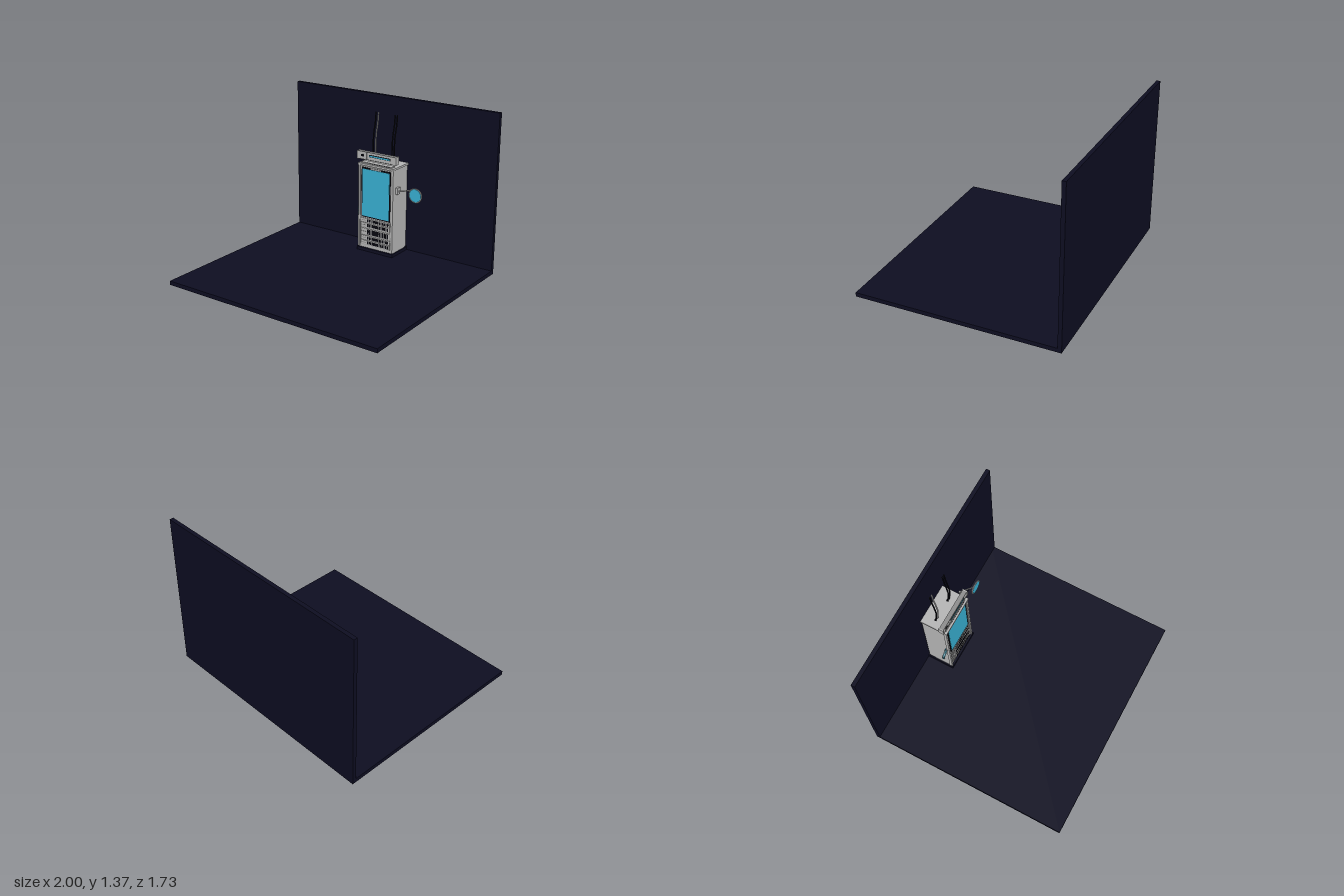
import * as THREE from 'three';

const mat = (name, color) => Object.assign(new THREE.MeshStandardMaterial({ color }), { name });

export function createModel() {
  const root = new THREE.Group();
  root.name = 'kioskDisplay';
  const navy = mat('navy', 0x0d0d21);
  const grey = mat('light grey', 0xb4b4b4);
  const shade = mat('mid grey', 0x8c8c8c);
  const black = mat('near black', 0x07070f);
  const blue = mat('screen blue', 0x38b0d2);

  const add = (name, geometry, material, parent = root) => {
    const m = new THREE.Mesh(geometry, material);
    m.name = name;
    parent.add(m);
    return m;
  };
  // Box given by its limits on each axis
  const box = (name, material, [x0, x1], [y0, y1], [z0, z1], parent = root) => {
    const m = add(name, new THREE.BoxGeometry(x1 - x0, y1 - y0, z1 - z0), material, parent);
    m.position.set((x0 + x1) / 2, (y0 + y1) / 2, (z0 + z1) / 2);
    return m;
  };
  const group = (name) => {
    const g = new THREE.Group();
    g.name = name;
    root.add(g);
    return g;
  };
  const tube = (name, material, pts, r, parent, segments = 24) => add(name, new THREE.TubeGeometry(
    new THREE.CatmullRomCurve3(pts.map((p) => new THREE.Vector3(...p))), segments, r, 8), material, parent);
  const rod = (name, material, a, b, r, parent) => {
    const line = new THREE.LineCurve3(new THREE.Vector3(...a), new THREE.Vector3(...b));
    return add(name, new THREE.TubeGeometry(line, 1, r, 8), material, parent);
  };

  // Room corner
  box('floor', navy, [-1, 1], [0, 0.035], [-0.865, 0.865]);
  box('wall', navy, [-1, 1], [0.035, 1.37], [-0.865, -0.832]);

  // Cabinet
  const cabinet = group('cabinet');
  box('plinth', navy, [-0.18, 0.18], [0.035, 0.062], [-0.83, -0.593], cabinet);
  box('body', grey, [-0.17, 0.17], [0.062, 0.8], [-0.825, -0.61], cabinet);
  box('topCap', grey, [-0.177, 0.177], [0.803, 0.82], [-0.832, -0.593], cabinet);
  box('capSeam', shade, [-0.165, 0.165], [0.79, 0.803], [-0.815, -0.605], cabinet);
  for (const s of [-1, 1]) {
    const span = (a, b) => (s > 0 ? [a, b] : [-b, -a]);
    box('frontPost', grey, span(0.158, 0.174), [0.065, 0.803], [-0.625, -0.6], cabinet);
    box('postGroove', shade, span(0.152, 0.158), [0.07, 0.8], [-0.62, -0.607], cabinet);
    box('plinthCorner', navy, span(0.165, 0.18), [0.062, 0.07], [-0.612, -0.593], cabinet);
    box('rearPlinthCorner', navy, span(0.165, 0.18), [0.062, 0.07], [-0.83, -0.815], cabinet);
  }

  // Screen
  const screen = group('screen');
  box('screenBezel', black, [-0.145, 0.145], [0.342, 0.785], [-0.612, -0.605], screen);
  box('screenGlass', blue, [-0.135, 0.135], [0.352, 0.772], [-0.606, -0.602], screen);
  box('screenTopBar', grey, [-0.055, 0.05], [0.776, 0.786], [-0.606, -0.6], screen);

  // Vent rows under the screen
  const vents = group('ventRows');
  for (const [y0, y1] of [[0.297, 0.329], [0.252, 0.288], [0.182, 0.237], [0.137, 0.17], [0.092, 0.127]]) {
    box('ventTray', shade, [-0.15, 0.148], [y0 - 0.004, y1 + 0.004], [-0.612, -0.607], vents);
    box('ventFace', grey, [-0.148, 0.146], [y0, y1], [-0.61, -0.604], vents);
    box('ventLabel', shade, [-0.142, -0.095], [(y0 + y1) / 2 - 0.003, (y0 + y1) / 2 + 0.003], [-0.606, -0.603], vents);
    const slots = [[-0.03, 0.032]];
    for (let i = 0; i < 3; i++) slots.push([-0.082 + i * 0.017, -0.071 + i * 0.017]);
    for (let i = 0; i < 6; i++) slots.push([0.038 + i * 0.0165, 0.049 + i * 0.0165]);
    for (const s of slots) box('ventSlot', black, s, [y0 + 0.005, y1 - 0.005], [-0.606, -0.6025], vents);
  }

  // Floating header sign
  const sign = group('headerSign');
  box('signBody', grey, [-0.188, 0.185], [0.855, 0.917], [-0.645, -0.609], sign);
  box('signLeftEnd', grey, [0.183, 0.194], [0.851, 0.92], [-0.649, -0.605], sign);
  box('signRightEnd', grey, [-0.196, -0.186], [0.851, 0.92], [-0.649, -0.605], sign);
  for (const y of [0.851, 0.915]) box('signRail', shade, [-0.186, 0.183], [y, y + 0.005], [-0.645, -0.607], sign);
  box('signDivider', shade, [-0.102, -0.098], [0.856, 0.915], [-0.61, -0.607], sign);
  box('signWindow', black, [-0.075, 0.14], [0.88, 0.9], [-0.61, -0.607], sign);
  box('signLight', blue, [-0.068, 0.133], [0.884, 0.895], [-0.608, -0.605], sign);
  for (const x of [-0.156, -0.139]) box('signButton', black, [x, x + 0.013], [0.877, 0.895], [-0.61, -0.606], sign);

  // Strip on the cabinet top
  const strip = group('topStrip');
  box('stripBase', grey, [-0.155, 0.152], [0.82, 0.828], [-0.657, -0.61], strip);
  for (let i = 0; i < 9; i++) {
    const x = -0.07 + i * 0.024;
    box('stripSlot', black, [x, x + 0.012], [0.821, 0.827], [-0.611, -0.608], strip);
  }

  // Cables rising from the cabinet top
  const cables = group('topCables');
  for (const [x, m] of [[-0.105, black], [-0.08, grey], [0.085, black], [0.107, black]]) {
    tube('cable', m, [[x - 0.003, 0.815, -0.732], [x - 0.003, 0.88, -0.72], [x, 0.96, -0.714],
      [x, 1.06, -0.722], [x + 0.003, 1.15, -0.738], [x + 0.004, 1.235, -0.746]], 0.006, cables);
    const tip = add('cableTip', new THREE.SphereGeometry(0.006, 8, 6), m, cables);
    tip.position.set(x + 0.004, 1.235, -0.746);
    const socket = add('cableSocket', new THREE.CylinderGeometry(0.01, 0.01, 0.004, 12), black, cables);
    socket.position.set(x - 0.003, 0.822, -0.732);
  }

  // Folding arm with a round blue disc
  const arm = group('sideArm');
  box('armMount', grey, [0.17, 0.192], [0.588, 0.645], [-0.686, -0.645], arm);
  rod('innerArm', grey, [0.188, 0.615, -0.655], [0.265, 0.615, -0.738], 0.006, arm);
  rod('outerArm', grey, [0.265, 0.615, -0.738], [0.365, 0.615, -0.65], 0.006, arm);
  const joint = add('armJoint', new THREE.CylinderGeometry(0.009, 0.009, 0.022, 12), shade, arm);
  joint.position.set(0.265, 0.615, -0.738);
  const disc = (name, r, depth, z, m) => {
    const d = add(name, new THREE.CylinderGeometry(r, r, depth, 32), m, arm);
    d.rotation.x = Math.PI / 2;
    d.position.set(0.365, 0.615, z);
  };
  disc('discBack', 0.062, 0.008, -0.646, grey);
  disc('discFace', 0.055, 0.004, -0.641, blue);
  const rim = add('discRim', new THREE.TorusGeometry(0.06, 0.005, 6, 32), grey, arm);
  rim.position.set(0.365, 0.615, -0.643);

  // Coiled two-tone cord bowed out from the right side
  const cord = group('coiledCord');
  [grey, blue].forEach((m, k) => {
    const pts = [];
    for (let i = 0; i <= 120; i++) {
      const t = i / 120;
      const a = t * 30 * Math.PI + k * Math.PI;
      pts.push([-0.174 - 0.022 * Math.sin(Math.PI * t) + 0.009 * Math.cos(a),
        0.445 - 0.27 * t, -0.625 - 0.05 * t + 0.009 * Math.sin(a)]);
    }
    tube('cordStrand', m, pts, 0.003, cord, 300);
  });
  return root;
}
